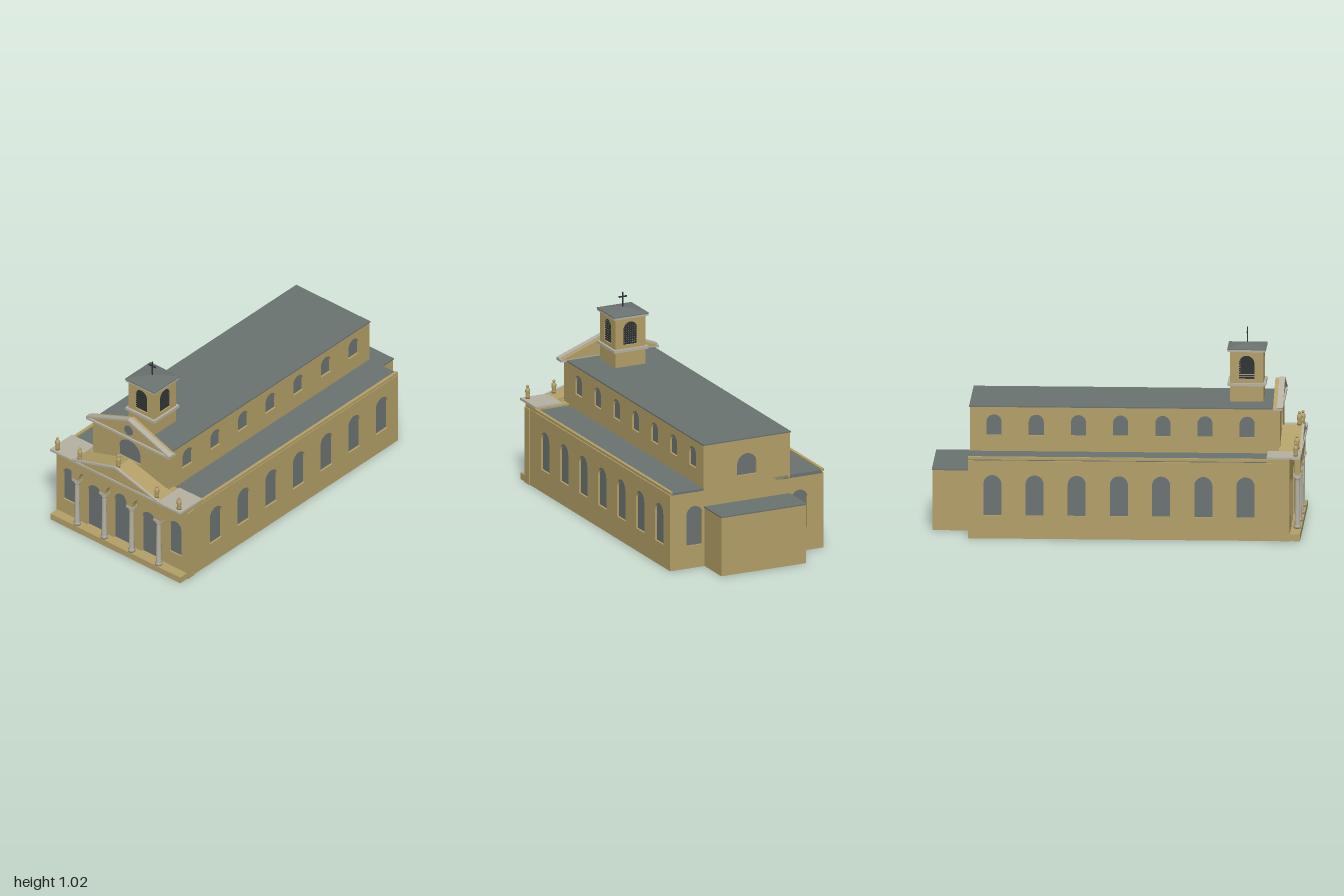
import * as THREE from 'three';

const mat = (name, color) => Object.assign(new THREE.MeshStandardMaterial({ color }), { name });

export function createModel() {
  const stone = mat('tan stone', 0xb3a068);
  const trim = mat('pale trim', 0xb5b2a2);
  const slate = mat('slate grey', 0x6b7371);
  const iron = mat('dark iron', 0x2e3233);

  const model = new THREE.Group();
  model.name = 'church';
  const church = new THREE.Group();
  church.name = 'building';
  church.rotation.y = 0.2286; // the building stands at an angle
  church.position.set(-0.0045, 0, -0.0195);
  model.add(church);

  function add(name, geo, material, parent = church) {
    const m = new THREE.Mesh(geo, material);
    m.name = name;
    parent.add(m);
    return m;
  }
  // box given by its limits on each axis
  function box(name, x0, x1, y0, y1, z0, z1, material, parent) {
    const m = add(name, new THREE.BoxGeometry(x1 - x0, y1 - y0, z1 - z0), material, parent);
    m.position.set((x0 + x1) / 2, (y0 + y1) / 2, (z0 + z1) / 2);
    return m;
  }
  // round-headed outline standing on y
  function archPath(target, x, y, w, h) {
    const r = w / 2;
    target.moveTo(x - r, y);
    target.lineTo(x + r, y);
    target.lineTo(x + r, y + h - r);
    target.absarc(x, y + h - r, r, 0, Math.PI, false);
    target.lineTo(x - r, y);
    return target;
  }
  const extrude = (shape, depth) =>
    new THREE.ExtrudeGeometry(shape, { depth, bevelEnabled: false, curveSegments: 12 }).translate(0, 0, -depth);

  // wall facing +z with arched openings, glazed at the back of each reveal
  function wall(name, length, height, openings, t, glazed = true) {
    const g = new THREE.Group();
    g.name = name;
    church.add(g);
    const shape = new THREE.Shape();
    shape.moveTo(-length / 2, 0);
    shape.lineTo(length / 2, 0);
    shape.lineTo(length / 2, height);
    shape.lineTo(-length / 2, height);
    for (const [x, y, w, h] of openings) shape.holes.push(archPath(new THREE.Path(), x, y, w, h));
    add('wall', extrude(shape, t), stone, g);
    if (glazed) for (const [x, y, w, h] of openings) {
      const pane = add('windowPane', extrude(archPath(new THREE.Shape(), x, y, w, h), 0.004), slate, g);
      pane.position.z = -t + 0.004;
    }
    return g;
  }
  const place = (g, x, y, z, turn) => { g.position.set(x, y, z); g.rotation.y = turn; return g; };
  const T = 0.015, BACK = 0.775;

  // a storey: solid core with four window walls around it
  function storey(name, x0, y0, height, half, side, front, back) {
    const mid = (x0 + BACK) / 2, len = BACK - x0;
    box(name + 'Core', x0 + T, BACK - T, y0, y0 + height, -half + T, half - T, stone);
    for (const s of [1, -1]) {
      const wins = [];
      for (let i = 0; i < 7; i++) wins.push([s * (-0.642 + 0.2155 * i - mid), ...side]);
      place(wall(name + 'Side', len, height, wins, T), mid, y0, s * half, s > 0 ? 0 : Math.PI);
    }
    place(wall(name + 'Front', 2 * (half - T), height, front, T), x0, y0, 0, -Math.PI / 2);
    place(wall(name + 'Back', 2 * (half - T), height, back, T), BACK, y0, 0, Math.PI / 2);
  }

  // aisles, with doors behind the porch
  storey('aisle', -0.867, 0, 0.405, 0.438, [0.12, 0.092, 0.21],
    [[-0.36, 0.12, 0.08, 0.2], [0.36, 0.12, 0.08, 0.2],
      [-0.183, 0.035, 0.1, 0.26], [0, 0.035, 0.11, 0.29], [0.183, 0.035, 0.1, 0.26]],
    [[-0.3, 0.12, 0.09, 0.21], [0.3, 0.12, 0.09, 0.21]]);
  box('aisleRoof', -0.76, BACK, 0.4, 0.417, -0.43, 0.43, slate);
  for (const s of [-1, 1]) {
    const z = s * 0.432;
    box('eaveStrip', -0.75, BACK, 0.411, 0.425, z - 0.008, z + 0.008, stone);
    const p = s * 0.438;
    box('cornerPilaster', -0.867, -0.816, 0, 0.405, p - 0.005, p + 0.005, stone);
  }

  // raised nave
  storey('nave', -0.81, 0.405, 0.241, 0.247, [0.095, 0.077, 0.107],
    [[0, 0.105, 0.15, 0.12]], [[0, 0.05, 0.11, 0.115]]);
  box('naveRoof', -0.77, BACK + 0.003, 0.646, 0.653, -0.25, 0.25, slate);

  // low rear annex
  box('annex', BACK - 0.01, 0.966, 0, 0.313, -0.241, 0.241, stone);
  box('annexRoof', BACK, 0.969, 0.313, 0.32, -0.244, 0.244, slate);

  // triangular gable facing the front
  function gable(name, half, rise, x, y, depth) {
    const s = new THREE.Shape();
    s.moveTo(-half, 0);
    s.lineTo(half, 0);
    s.lineTo(0, rise);
    const m = add(name, extrude(s, depth), stone);
    return place(m, x, y, 0, -Math.PI / 2);
  }
  // sloping trim along both edges of a gable
  function rake(name, half, rise, x0, x1, y) {
    const len = Math.hypot(half, rise), a = Math.atan2(rise, half);
    for (const s of [-1, 1]) {
      const m = add(name, new THREE.BoxGeometry(x1 - x0, 0.01, len), trim);
      m.position.set((x0 + x1) / 2, y + rise / 2, s * half / 2);
      m.rotation.x = s * a;
    }
  }
  box('naveCornice', -0.825, -0.775, 0.645, 0.657, -0.28, 0.28, trim);
  gable('naveGable', 0.275, 0.105, -0.815, 0.656, 0.04);
  rake('naveRake', 0.28, 0.105, -0.825, -0.795, 0.657);
  const oculus = add('gableWindow', new THREE.CylinderGeometry(0.028, 0.028, 0.006, 20), slate);
  oculus.rotation.z = Math.PI / 2;
  oculus.position.set(-0.816, 0.697, 0);

  // porch floor, terraces and roof
  box('porchFloor', -0.92, -0.86, 0, 0.035, -0.438, 0.438, stone);
  box('porchTop', -0.867, -0.75, 0.4, 0.427, -0.436, 0.436, stone);
  box('porchCeiling', -0.915, -0.8, 0.418, 0.432, -0.295, 0.295, stone);
  for (const s of [-1, 1]) {
    const z = s * 0.363;
    box('porchTerrace', -0.922, -0.75, 0.425, 0.437, z - 0.077, z + 0.077, trim);
  }
  box('porchCornice', -0.924, -0.9, 0.427, 0.438, -0.3, 0.3, trim);
  gable('porchRoof', 0.292, 0.083, -0.918, 0.435, 0.112);
  rake('porchRake', 0.292, 0.083, -0.924, -0.912, 0.435);

  // arcade of three arches on four columns
  const arcade = new THREE.Shape();
  arcade.moveTo(-0.3, 0);
  for (const x of [-0.183, 0, 0.183]) {
    arcade.lineTo(x - 0.072, 0);
    arcade.absarc(x, 0, 0.072, Math.PI, 0, true);
  }
  arcade.lineTo(0.3, 0);
  arcade.lineTo(0.3, 0.11);
  arcade.lineTo(-0.3, 0.11);
  place(add('arcade', extrude(arcade, 0.03), stone), -0.916, 0.318, 0, -Math.PI / 2);
  const columnProfile = [[0, 0], [0.019, 0], [0.019, 0.012], [0.014, 0.02], [0.012, 0.25], [0.014, 0.255], [0.02, 0.272], [0, 0.272]]
    .map(([r, y]) => new THREE.Vector2(r, y));
  for (const z of [-0.275, -0.092, 0.092, 0.275]) {
    add('column', new THREE.LatheGeometry(columnProfile, 16), trim).position.set(-0.9, 0.035, z);
    box('columnCap', -0.92, -0.88, 0.306, 0.319, z - 0.02, z + 0.02, trim);
  }

  // robed figures along the porch roof
  const robe = [[0, 0], [0.012, 0], [0.012, 0.012], [0.009, 0.014], [0.013, 0.036], [0.012, 0.05], [0.005, 0.057], [0, 0.058]]
    .map(([r, y]) => new THREE.Vector2(r, y));
  for (const [z, y] of [[-0.41, 0.437], [-0.26, 0.444], [0, 0.516], [0.26, 0.444], [0.41, 0.437]]) {
    const figure = new THREE.Group();
    figure.name = 'statue';
    figure.position.set(-0.897, y, z);
    church.add(figure);
    add('robe', new THREE.LatheGeometry(robe, 10), stone, figure);
    add('head', new THREE.SphereGeometry(0.008, 10, 8), stone, figure).position.y = 0.064;
  }

  // bell tower
  const TX = -0.632;
  const block = (name, w, y0, y1, material) =>
    box(name, TX - w / 2, TX + w / 2, y0, y1, -w / 2, w / 2, material);
  block('towerBase', 0.172, 0.645, 0.736, stone);
  block('towerBand', 0.196, 0.735, 0.75, trim);
  block('towerCornice', 0.194, 0.912, 0.924, trim);
  const S = 0.172, D = 0.012;
  for (let i = 0; i < 4; i++) {
    const turn = i * Math.PI / 2, alongX = i % 2 === 1;
    const face = wall('belfryWall', alongX ? S - 2 * D : S, 0.165, [[0, 0.02, 0.078, 0.122]], D, false);
    place(face, TX + Math.sin(turn) * S / 2, 0.749, Math.cos(turn) * S / 2, turn);
    // louvres trimmed to the arch
    for (let k = 0; k < 10; k++) {
      const y = 0.025 + k * 0.0122, over = Math.max(0, y - 0.103);
      const hw = Math.sqrt(Math.max(0.0001, 0.039 ** 2 - over ** 2));
      box('louvre', -hw, hw, y - 0.0035, y + 0.0035, -0.011, -0.005, iron, face);
    }
    if (alongX) for (let k = -3; k <= 3; k++) {
      const x = k * 0.011, top = 0.103 + Math.sqrt(0.039 ** 2 - x ** 2);
      box('louvreBar', x - 0.0025, x + 0.0025, 0.02, top, -0.01, -0.006, iron, face);
    }
  }
  block('towerEave', 0.198, 0.923, 0.928, slate);
  const cap = add('towerRoof', new THREE.ConeGeometry(0.198 / Math.SQRT2, 0.019, 4, 1).rotateY(Math.PI / 4), slate);
  cap.material.flatShading = false;
  cap.geometry = cap.geometry.toNonIndexed();
  cap.geometry.computeVertexNormals();
  cap.position.set(TX, 0.9375, 0);

  // cross
  box('crossPost', TX - 0.003, TX + 0.003, 0.94, 1.025, -0.003, 0.003, iron);
  box('crossArm', TX - 0.003, TX + 0.003, 0.997, 1.004, -0.023, 0.023, iron);

  return model;
}
